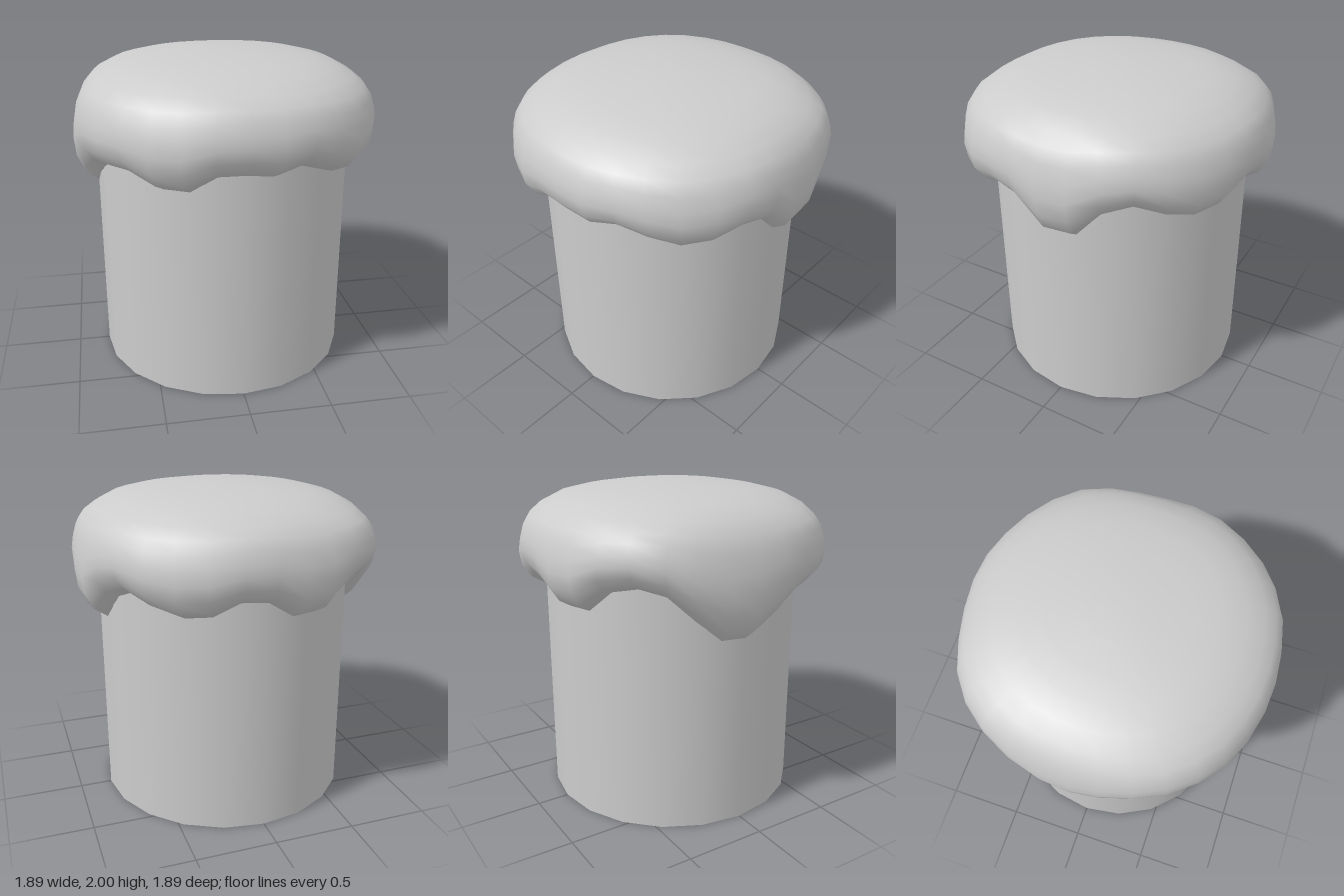
import * as THREE from 'three';
import { mergeVertices } from 'three/addons/utils/BufferGeometryUtils.js';

const SHOULDER = 1.86;

// Height of the dripping hem, every 11.25 degrees from the front (+z) towards +x
const HEM = [
  1.43, 1.41, 1.455, 1.40, 1.345, 1.36, 1.42, 1.40,
  1.235, 1.235, 1.40, 1.46, 1.39, 1.345, 1.36, 1.44,
  1.43, 1.33, 1.33, 1.46, 1.49, 1.45, 1.31, 1.18,
  1.175, 1.28, 1.38, 1.395, 1.40, 1.33, 1.33, 1.425,
];

// Skirt of the topping: [radius, fraction of the way up from hem to shoulder]
const SKIRT = [
  [0.80, 0], [0.88, 0.09], [0.93, 0.25], [0.943, 0.43],
  [0.932, 0.58], [0.91, 0.75], [0.87, 0.88], [0.80, 1],
];

// Domed top: [radius, height]
const DOME = [[0.69, 1.918], [0.55, 1.953], [0.4, 1.976], [0.2, 1.994], [0, 2]];

function toppingGeometry() {
  const points = [...SKIRT, ...DOME].map(([r, y]) => new THREE.Vector2(r, y));
  const geometry = new THREE.LatheGeometry(points, HEM.length);
  const pos = geometry.attributes.position;
  for (let i = 0; i <= HEM.length; i++) {
    const hem = HEM[i % HEM.length];
    const angle = (i / HEM.length) * Math.PI * 2;
    // Slightly squarish outline, fading out where the hem meets the body
    const bulge = 0.035 * Math.sin(2 * angle) ** 2;
    for (let j = 0; j < points.length; j++) {
      const k = i * points.length + j;
      if (j < SKIRT.length) pos.setY(k, THREE.MathUtils.lerp(hem, SHOULDER, SKIRT[j][1]));
      const scale = 1 + bulge * Math.min(1, j / 2);
      pos.setX(k, pos.getX(k) * scale);
      pos.setZ(k, pos.getZ(k) * scale);
    }
  }
  // Weld the seam so the shading is smooth all round
  geometry.deleteAttribute('uv');
  geometry.deleteAttribute('normal');
  const welded = mergeVertices(geometry, 1e-4);
  welded.computeVertexNormals();
  return welded;
}

export function createModel() {
  const model = new THREE.Group();
  model.name = 'toppedCylinder';
  const material = new THREE.MeshStandardMaterial({ color: 0xcccccc, side: THREE.DoubleSide });

  // Straight hollow body, open underneath
  const height = 1.8;
  const body = new THREE.Mesh(new THREE.CylinderGeometry(0.8, 0.8, height, 20, 1, true), material);
  body.name = 'body';
  body.position.y = height / 2;

  // Soft topping running down the sides
  const topping = new THREE.Mesh(toppingGeometry(), material);
  topping.name = 'drippingTopping';

  model.add(body, topping);
  return model;
}
